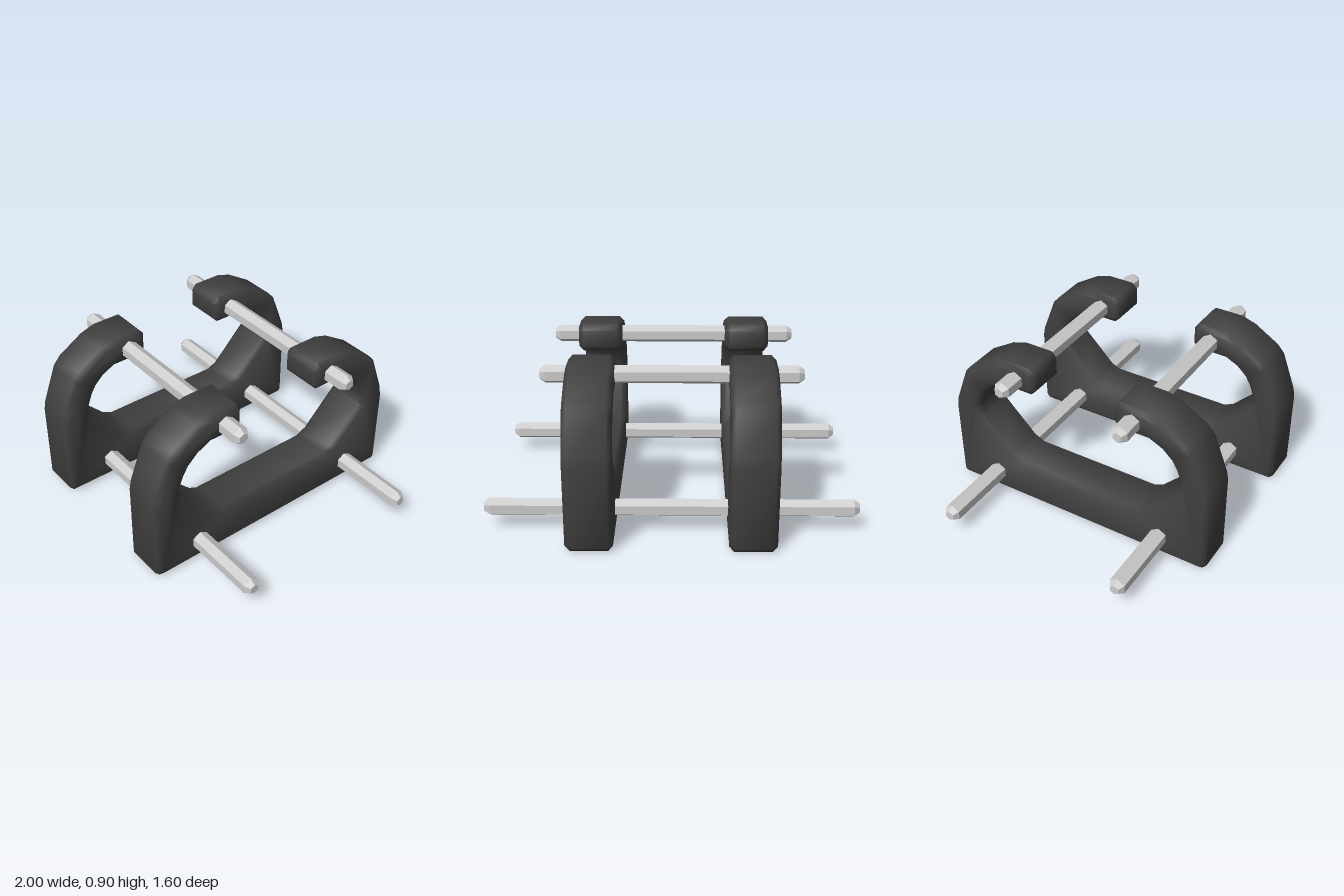
import * as THREE from 'three';
import { toCreasedNormals } from 'three/addons/utils/BufferGeometryUtils.js';

const darkMaterial = new THREE.MeshStandardMaterial({ color: 0x404040 });
const rodMaterial = new THREE.MeshStandardMaterial({ color: 0xcccccc, flatShading: true });

// Front half of the bracket outline as [z, y], from the base up around the hooked arm
const halfOutline = [
  [0.775, 0], [0.80, 0.025], [0.80, 0.477], [0.79, 0.53], [0.71, 0.74], [0.67, 0.785],
  [0.525, 0.873], [0.44, 0.90], [0.275, 0.90], [0.247, 0.868], [0.247, 0.768], [0.275, 0.74],
  [0.446, 0.74], [0.52, 0.705], [0.575, 0.655], [0.605, 0.605], [0.635, 0.525], [0.626, 0.476],
  [0.425, 0.275], [0.37, 0.25],
];

// Beveled C-shaped bracket lying in the z-y plane, centred on x = 0
function bracketGeometry() {
  const width = 0.25, bevel = 0.025;
  const mirrored = halfOutline.map(([z, y]) => [-z, y]).reverse();
  const outline = [...halfOutline, ...mirrored].map(([z, y]) => new THREE.Vector2(z, y));
  const geometry = new THREE.ExtrudeGeometry(new THREE.Shape(outline), {
    depth: width - 2 * bevel,
    bevelEnabled: true,
    bevelThickness: bevel,
    bevelSize: bevel,
    bevelOffset: -bevel,
    bevelSegments: 1,
  });
  geometry.translate(0, 0, -width / 2 + bevel);
  geometry.rotateY(-Math.PI / 2);
  return toCreasedNormals(geometry, 0.9);
}

// Hexagonal rod along x with chamfered ends
function rodGeometry(halfLength) {
  const radius = 0.05, chamfer = 0.03;
  const profile = [
    [0, -halfLength], [0.028, -halfLength], [radius, -halfLength + chamfer],
    [radius, halfLength - chamfer], [0.028, halfLength], [0, halfLength],
  ].map(([r, y]) => new THREE.Vector2(r, y));
  return new THREE.LatheGeometry(profile, 6, Math.PI / 2).rotateZ(-Math.PI / 2);
}

export function createModel() {
  const group = new THREE.Group();
  group.name = 'rodRack';

  // Two identical brackets side by side
  const bracket = bracketGeometry();
  for (const [name, x] of [['leftBracket', 0.425], ['rightBracket', -0.425]]) {
    const mesh = new THREE.Mesh(bracket, darkMaterial);
    mesh.name = name;
    mesh.position.x = x;
    group.add(mesh);
  }

  // Long rods through the base, short rods through the arm tips
  const rods = [
    { name: 'LowerRod', halfLength: 1.0, y: 0.127, z: 0.524 },
    { name: 'UpperRod', halfLength: 0.693, y: 0.82, z: 0.357 },
  ];
  for (const { name, halfLength, y, z } of rods) {
    const geometry = rodGeometry(halfLength);
    for (const side of [1, -1]) {
      const mesh = new THREE.Mesh(geometry, rodMaterial);
      mesh.name = (side > 0 ? 'front' : 'back') + name;
      mesh.position.set(0, y, side * z);
      group.add(mesh);
    }
  }
  return group;
}
